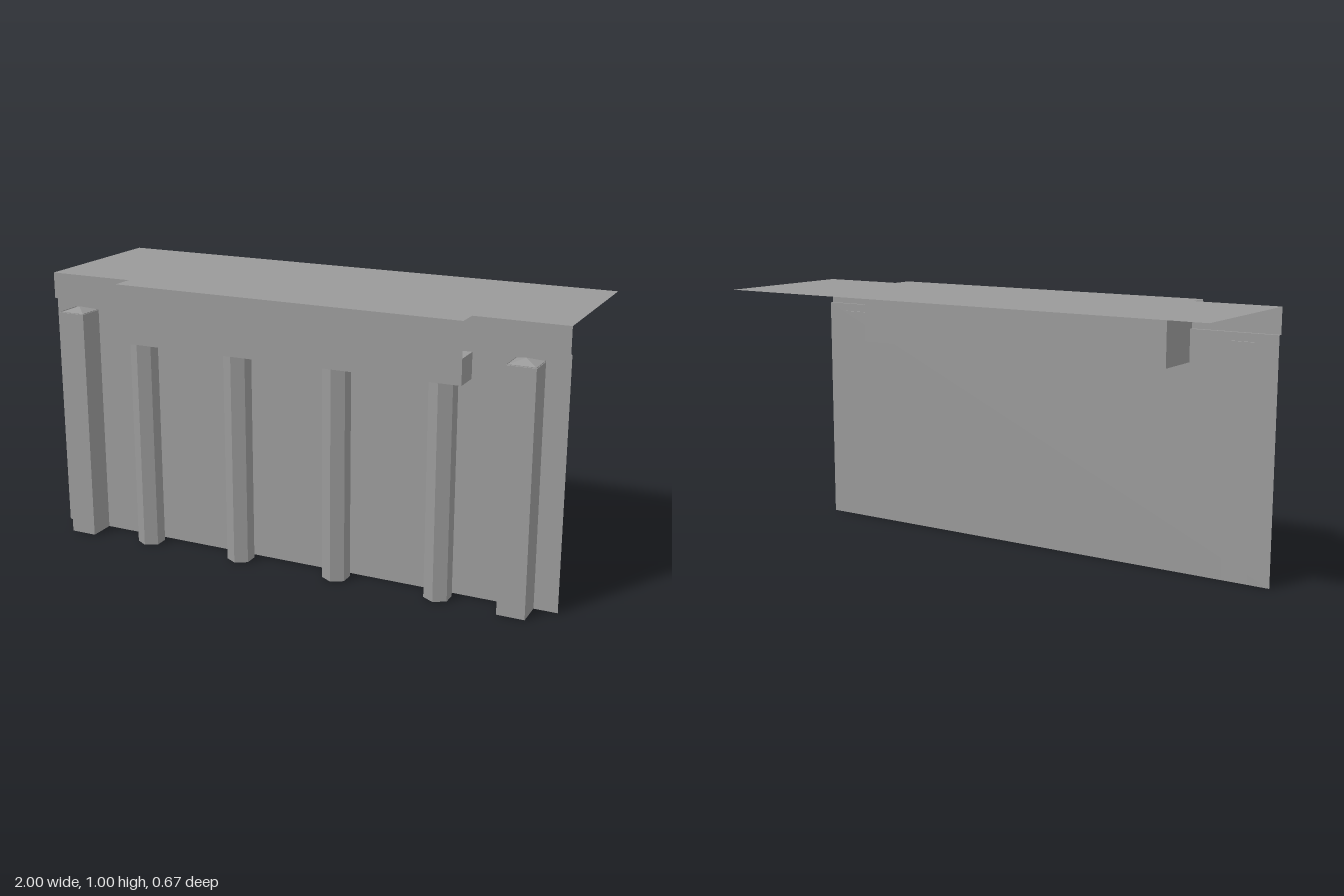
import * as THREE from 'three';

export function createModel() {
  const model = new THREE.Group();
  const grey = new THREE.MeshStandardMaterial({ color: 0x999999, side: THREE.DoubleSide, flatShading: true });
  grey.name = 'plain grey';

  const add = (name, geometry, x = 0, y = 0, z = 0) => {
    const mesh = new THREE.Mesh(geometry, grey);
    mesh.name = name;
    mesh.position.set(x, y, z);
    model.add(mesh);
    return mesh;
  };
  // Flat panels spanning two limits per axis
  const frontPanel = (name, x0, x1, y0, y1, z) =>
    add(name, new THREE.PlaneGeometry(x1 - x0, y1 - y0), (x0 + x1) / 2, (y0 + y1) / 2, z);
  const floorPanel = (name, x0, x1, z0, z1, y) =>
    add(name, new THREE.PlaneGeometry(x1 - x0, z1 - z0).rotateX(-Math.PI / 2), (x0 + x1) / 2, y, (z0 + z1) / 2);
  const outline = (points) => new THREE.ShapeGeometry(
    new THREE.Shape(points.map(([a, b]) => new THREE.Vector2(a, b))));

  const W = 0.665, wallZ = 0.235, edgeZ = 0.25, frontZ = 0.333, backZ = 0.05;
  const low = 0.783, mid = 0.903, ledge = 0.875;

  // Roof sheet with a projecting centre (shape y becomes -z)
  add('roof', outline([[-1, 0.335], [-1, -edgeZ], [-W, -edgeZ], [-W, -frontZ],
    [W, -frontZ], [W, -edgeZ], [1, -edgeZ], [1, 0.335]]).rotateX(-Math.PI / 2), 0, 1, 0);

  // Wall
  frontPanel('wall', -1, 1, 0, mid, wallZ);

  // Central beam: front, back, underside and the ledge inside its front
  frontPanel('beamFront', -W, W, low, 1, frontZ);
  frontPanel('beamBack', -W, W, low, 1, backZ);
  floorPanel('beamUnderside', -W, W, backZ, frontZ, low);
  floorPanel('beamLedge', -W, W, wallZ, frontZ, ledge);

  for (const s of [-1, 1]) {
    const side = s > 0 ? 'left' : 'right';
    // Beam end, open above the ledge at the front (shape x becomes z)
    add(side + 'BeamEnd', outline([[backZ, low], [frontZ, low], [frontZ, ledge], [wallZ, ledge],
      [wallZ, mid], [edgeZ, mid], [edgeZ, 1], [backZ, 1]])
      .applyMatrix4(new THREE.Matrix4().set(0, 0, 1, 0, 0, 1, 0, 0, 1, 0, 0, 0, 0, 0, 0, 1)), s * W);

    // Side fascia and its narrow soffit
    const x0 = Math.min(s, s * W), x1 = Math.max(s, s * W);
    frontPanel(side + 'Fascia', x0, x1, mid, 1, edgeZ);
    floorPanel(side + 'Soffit', x0, x1, wallZ, edgeZ, mid);

    // Square end pillar, open below, with a low pyramid cap
    const r = 0.05 * Math.SQRT2;
    add(side + 'EndPillar', new THREE.CylinderGeometry(r, r, 0.875, 4, 1, true).rotateY(Math.PI / 4),
      s * 0.865, 0.4375, 0.285);
    add(side + 'PillarCap', new THREE.CylinderGeometry(0, r * 1.04, 0.018, 4, 1, true).rotateY(Math.PI / 4),
      s * 0.865, 0.881, 0.285);
  }

  // Hexagonal pillars below the beam, open at the bottom
  for (let i = 0; i < 4; i++) {
    add('hexPillar' + (i + 1), new THREE.CylinderGeometry(0.05, 0.05, low, 6, 1, true),
      -0.585 + i * 0.39, low / 2, 0.2855);
  }
  return model;
}
